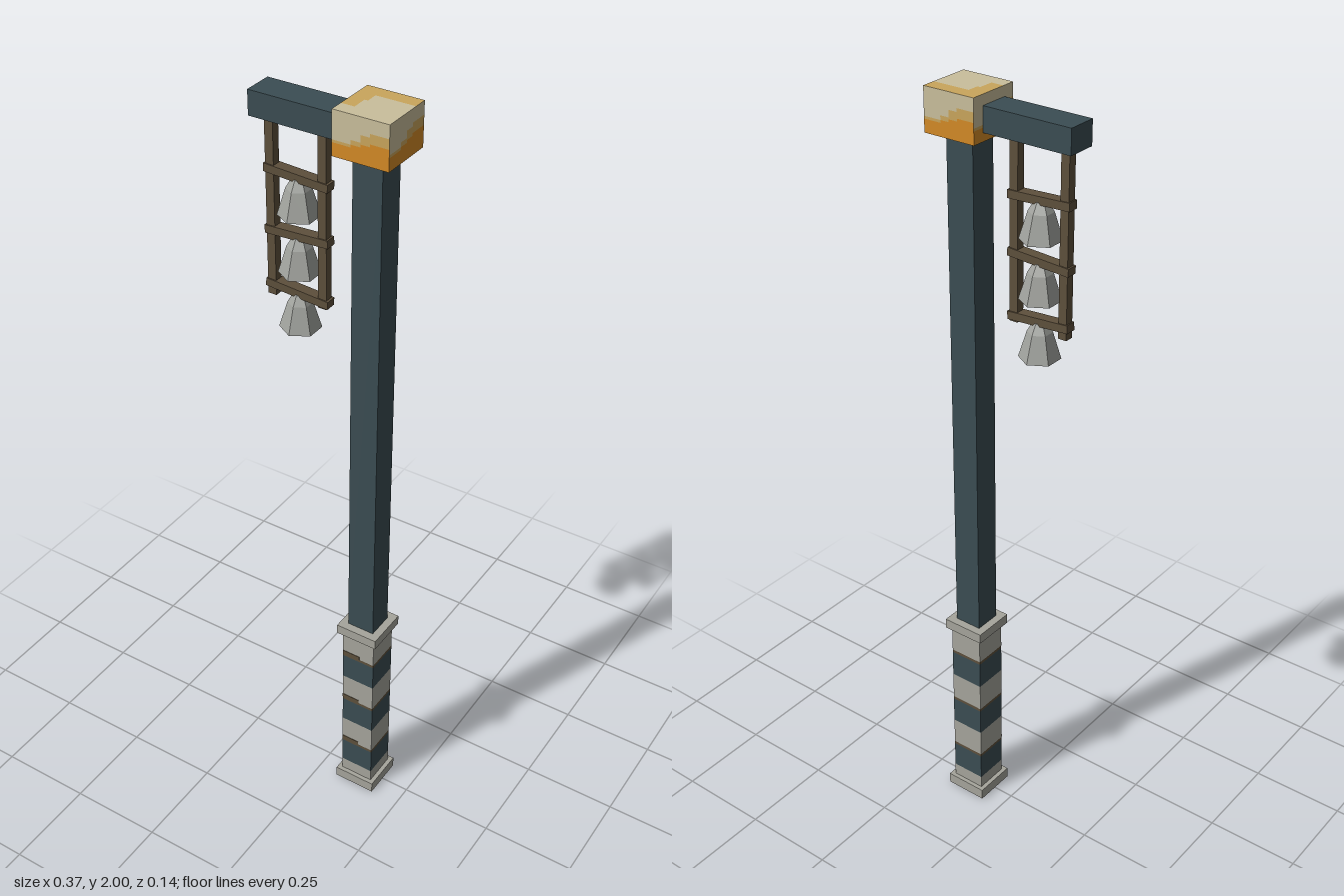
import * as THREE from 'three';

const mat = (name, color) => {
  const m = new THREE.MeshStandardMaterial({ color, flatShading: true });
  m.name = name;
  return m;
};

export function createModel() {
  const root = new THREE.Group();
  root.name = 'bellPost';
  const slate = mat('slate', 0x3b4d53), stone = mat('stone', 0xa6a59c), wood = mat('wood', 0x5e503c);
  const bellMetal = mat('bellMetal', 0xa2a49f), pale = mat('paleGold', 0xcabf9c);
  const gold = mat('gold', 0xcaa65c), orange = mat('orange', 0xd48a26), dark = mat('darkBrown', 0x44362c);
  const PX = 0.115; // pole axis

  const add = (name, geo, material, x, y, z, parent = root) => {
    const m = new THREE.Mesh(geo, material);
    m.name = name;
    m.position.set(x, y, z);
    parent.add(m);
    return m;
  };
  // box centred on x and z, spanning y0 to y1
  const block = (name, material, x, w, d, y0, y1) =>
    add(name, new THREE.BoxGeometry(w, y1 - y0, d), material, x, (y0 + y1) / 2, 0);

  // pole and arm
  block('pole', slate, PX, 0.074, 0.072, 0.57, 1.9);
  block('arm', slate, -0.067, 0.236, 0.076, 1.915, 1.975);

  // striped base built as stacked bands between two stone collars
  block('foot', [stone, stone, stone, dark, stone, stone], PX, 0.115, 0.115, 0, 0.03);
  block('collar', stone, PX, 0.115, 0.115, 0.543, 0.57);
  let y = 0.03;
  for (let i = 0; i < 3; i++) {
    const s = 0.065 + i * 0.16;
    block('stoneBand', stone, PX, 0.092, 0.092, y, s);
    block('slateBand', slate, PX, 0.092, 0.092, s, s + 0.075);
    y = s + 0.083;
    block('brownEdge', wood, PX, 0.092, 0.092, s + 0.075, y);
    // stepped brown edge on the front
    add('brownStep', new THREE.BoxGeometry(0.05, 0.01, 0.002), wood, PX - 0.021, y + 0.005, 0.046);
  }
  block('stoneBand', stone, PX, 0.092, 0.092, y, 0.543);

  // lamp block: four sides of stepped colour columns, [orange top, gold top] as fractions
  const lamp = new THREE.Group();
  lamp.name = 'lampBlock';
  lamp.position.set(PX + 0.001, 1.895, -0.001);
  root.add(lamp);
  const S = 0.138, H = 0.105;
  const columns = [[0.3, 0.36], [0.3, 0.36], [0.36, 0.46], [0.42, 0.62], [0.48, 0.7], [0.48, 0.7]];
  for (let side = 0; side < 4; side++) {
    const face = new THREE.Group();
    face.name = 'lampSide';
    face.rotation.y = side * Math.PI / 2;
    lamp.add(face);
    const w = S / columns.length;
    columns.forEach(([a, b], i) => {
      [[0, a, orange], [a, b, gold], [b, 1, pale]].forEach(([lo, hi, m]) =>
        add('lampPanel', new THREE.PlaneGeometry(w, (hi - lo) * H), m,
          -S / 2 + (i + 0.5) * w, (lo + hi) / 2 * H, S / 2, face));
    });
  }
  add('lampBottom', new THREE.PlaneGeometry(S, S), orange, 0, 0, 0, lamp).rotation.x = Math.PI / 2;
  // top: pale field with gold along the back and left edges; [x0, x1, z0, z1]
  const h = S / 2;
  [[-h, h, -h, -0.034, gold], [-h, -0.036, -0.034, h - 0.034, gold], [-0.036, -0.028, -0.034, -0.004, gold],
    [-0.036, -0.028, -0.004, h - 0.034, pale], [-0.028, h, -0.034, h - 0.034, pale], [-h, h, h - 0.034, h, pale]]
    .forEach(([x0, x1, z0, z1, m]) => {
      add('lampTop', new THREE.PlaneGeometry(x1 - x0, z1 - z0), m, (x0 + x1) / 2, H, (z0 + z1) / 2, lamp)
        .rotation.x = -Math.PI / 2;
    });

  // hanging ladder
  block('ladderRailRight', wood, -0.152, 0.022, 0.022, 1.47, 1.915);
  block('ladderRailLeft', wood, -0.015, 0.022, 0.022, 1.475, 1.915);
  [[1.785, -0.05], [1.641, 0.05], [1.494, -0.07]].forEach(([ry, tilt]) => {
    add('ladderRung', new THREE.BoxGeometry(0.168, 0.02, 0.028), wood, -0.083, ry, 0).rotation.z = tilt;
  });

  // six-sided bells
  const profile = [[0, 0], [0.05, 0], [0.03, 0.066], [0.016, 0.09], [0, 0.095]]
    .map(([r, py]) => new THREE.Vector2(r, py));
  const bellGeo = new THREE.LatheGeometry(profile, 6).toNonIndexed();
  bellGeo.computeVertexNormals();
  [1.69, 1.545, 1.4].forEach(by => add('bell', bellGeo, bellMetal, -0.082, by, 0));

  return root;
}
